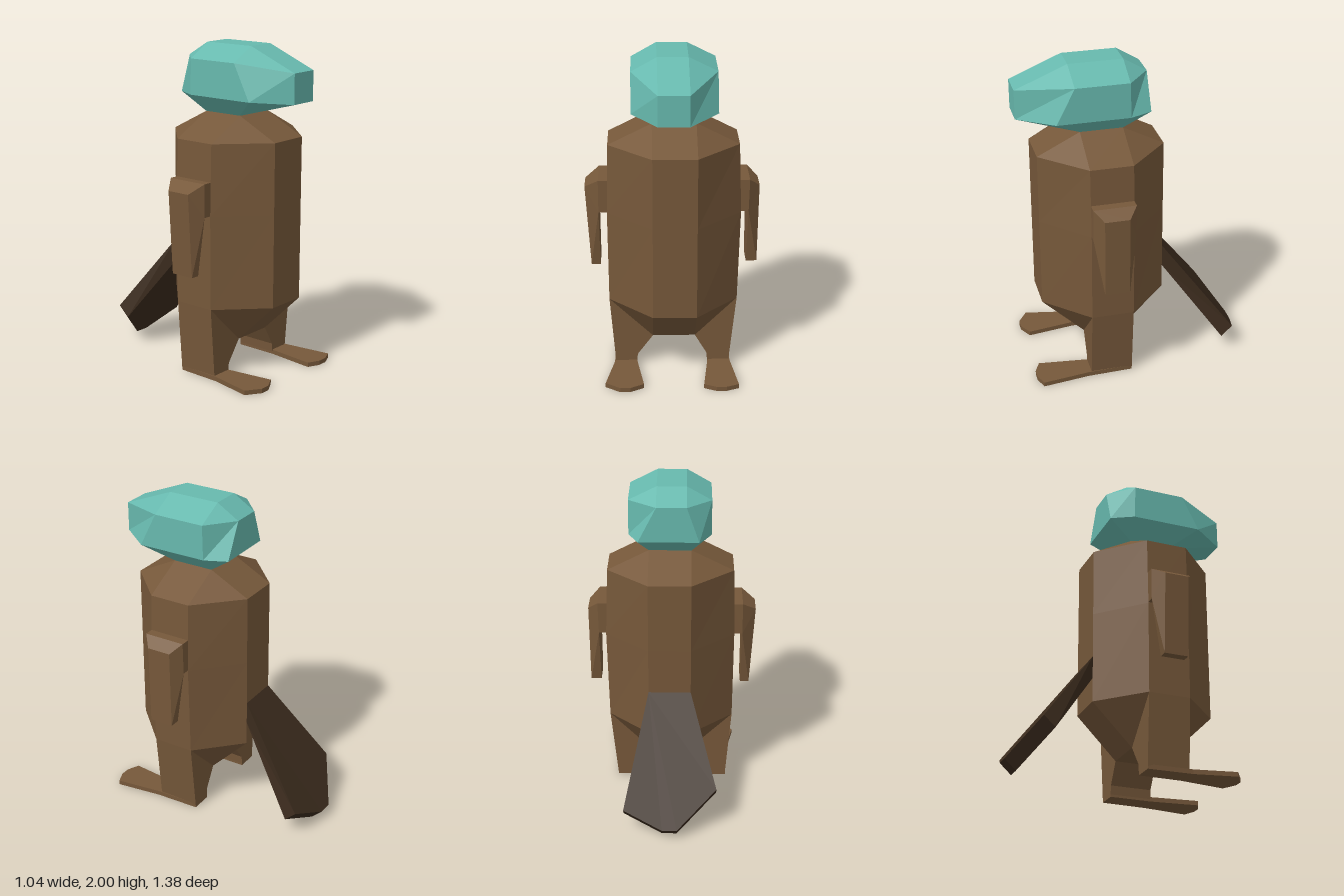
import * as THREE from 'three';

const material = (color) => new THREE.MeshStandardMaterial({ color, flatShading: true });
const brown = material(0x76583a);
const darkBrown = material(0x3b2b1d);
const teal = material(0x67b9ae);

// Skins a stack of rings (points run anticlockwise seen from the last ring) and caps both ends.
function loft(name, rings, mat) {
  const pos = [];
  const tri = (...pts) => {
    const [a, b, c] = pts.map((p) => new THREE.Vector3(...p));
    if (b.sub(a).cross(c.sub(a)).length() > 1e-7) pos.push(...pts.flat());
  };
  const n = rings[0].length;
  for (let r = 0; r + 1 < rings.length; r++) {
    const lo = rings[r], hi = rings[r + 1];
    for (let i = 0; i < n; i++) {
      const j = (i + 1) % n;
      tri(lo[i], lo[j], hi[j]);
      tri(lo[i], hi[j], hi[i]);
    }
  }
  const first = rings[0], last = rings[rings.length - 1];
  for (let i = 1; i + 1 < n; i++) {
    tri(first[0], first[i + 1], first[i]);
    tri(last[0], last[i], last[i + 1]);
  }
  const geo = new THREE.BufferGeometry();
  geo.setAttribute('position', new THREE.Float32BufferAttribute(pos, 3));
  geo.computeVertexNormals();
  const mesh = new THREE.Mesh(geo, mat);
  mesh.name = name;
  return mesh;
}

// Eight-sided ring at height y: side edges span sideZ, front and back edges have their own x span.
function octagon(y, sideX, sideZ, back, front) {
  const [x0, x1] = sideX, [z0, z1] = sideZ;
  return [
    [x1, y, z1], [x1, y, z0],
    [back.x[1], y, back.z], [back.x[0], y, back.z],
    [x0, y, z0], [x0, y, z1],
    [front.x[0], front.y ?? y, front.z], [front.x[1], front.y ?? y, front.z],
  ];
}

// Mirrors an outline to the chosen side, keeping its first point and its turning direction.
const onSide = (s, pts) => {
  if (s > 0) return pts;
  const m = pts.map(([x, ...rest]) => [-x, ...rest]);
  return [m[0], ...m.slice(1).reverse()];
};

export function createModel() {
  const model = new THREE.Group();
  const core = [-0.12, 0.14], coreZ = [0.06, 0.32];
  const square = (y) => octagon(y, core, coreZ, { x: core, z: 0.06 }, { x: core, z: 0.32 });

  // Barrel-shaped body tapering to a square at both ends
  const girth = (y, x0, x1) => octagon(y, [x0, x1], coreZ, { x: core, z: -0.19 }, { x: core, z: 0.58 });
  model.add(loft('body', [
    square(0.205), girth(0.46, -0.385, 0.395), girth(1.03, -0.39, 0.41),
    girth(1.46, -0.38, 0.395), square(1.59),
  ], brown));

  // Head with a long blunt muzzle
  const nose = [-0.09, 0.09];
  model.add(loft('head', [
    square(1.59),
    octagon(1.7, [-0.24, 0.26], [0.04, 0.48], { x: [-0.165, 0.2], z: -0.095 }, { x: nose, y: 1.69, z: 0.69 }),
    octagon(1.915, [-0.24, 0.26], [0.045, 0.37], { x: nose, z: -0.095 }, { x: nose, y: 1.87, z: 0.69 }),
    octagon(2, nose, [0.045, 0.375], { x: nose, z: 0.045 }, { x: nose, z: 0.375 }),
  ], teal));

  // Flat paddle tail
  const tailTop = [
    [0.14, 0.75, -0.19], [0.285, 0.17, -0.625], [0.05, 0.07, -0.69],
    [-0.04, 0.07, -0.69], [-0.28, 0.27, -0.54], [-0.12, 0.75, -0.19],
  ];
  const tailBottom = tailTop.map(([x, y, z]) => (z > -0.2 ? [x, 0.61, z] : [x, y - 0.065, z + 0.07]));
  model.add(loft('tail', [tailBottom, tailTop], darkBrown));

  for (const s of [1, -1]) {
    const label = s > 0 ? 'left' : 'right';

    // Arm outline: x, y and half depth, starting at the inside of the elbow
    const tip = s > 0 ? [0.45, 0.515, 0.685] : [0.435, 0.49, 0.672];
    const arm = onSide(s, [
      [s > 0 ? 0.455 : 0.44, 1.035, 0.13], [tip[0], tip[2], 0.075], [tip[1], tip[2], 0.075],
      [0.522, 1.18, 0.075], [s > 0 ? 0.46 : 0.44, 1.235, 0.13], [0.38, 1.235, 0.13], [0.38, 1.035, 0.13],
    ]);
    model.add(loft(label + 'Arm', [-1, 1].map((d) => arm.map(([x, y, h]) => [x, y, 0.19 + d * h])), brown));

    // Leg dropping from the slanted underside of the body
    const inner = s > 0 ? 0.14 : 0.12, outer = s > 0 ? 0.395 : 0.385;
    const leg = onSide(s, [[0.215, 0.075], [0.22, 0.02], [0.35, 0.02], [outer, 0.46], [inner, 0.205]]);
    model.add(loft(label + 'Leg', coreZ.map((z) => leg.map(([x, y]) => [x, y, z])), brown));

    // Thin webbed foot flaring towards the toes
    const [toeIn, toeOut] = s > 0 ? [[0.185, 0.625], [0.395, 0.63]] : [[0.178, 0.615], [0.41, 0.6]];
    const foot = onSide(s, [
      [0.22, 0.32], toeIn, [0.26, 0.66], [0.32, 0.66], toeOut, [0.358, 0.34], [0.35, 0.06], [0.22, 0.06],
    ]);
    model.add(loft(label + 'Foot', [0.005, 0.033].map((y) => foot.map(([x, z]) => [x, y, z])), brown));
  }
  return model;
}
